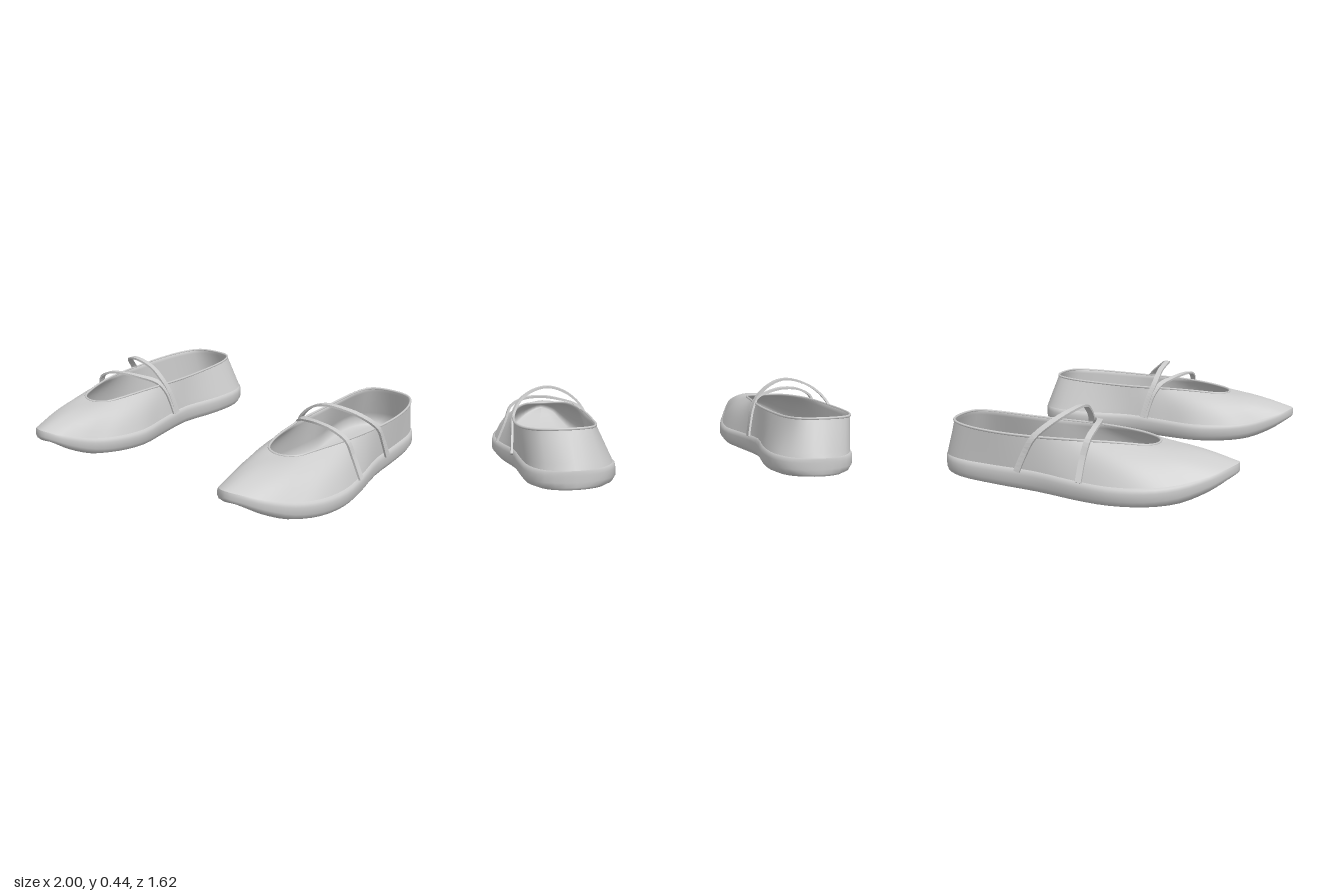
import * as THREE from 'three';

const material = new THREE.MeshStandardMaterial({ color: 0xcccccc, side: THREE.DoubleSide });
const N = 66; // points around each loop

// Stations from toe to heel: z, inner x, outer x, welt height, underside height
const SOLE = [
  [0.81, 0.665, 0.665, 0.195, 0.155],
  [0.77, 0.585, 0.755, 0.18, 0.13],
  [0.70, 0.54, 0.83, 0.155, 0.085],
  [0.57, 0.48, 0.915, 0.12, 0.03],
  [0.42, 0.425, 0.98, 0.105, 0.008],
  [0.24, 0.40, 1.0, 0.10, 0],
  [0.04, 0.435, 0.97, 0.105, 0],
  [-0.20, 0.465, 0.915, 0.115, 0.007],
  [-0.45, 0.42, 0.895, 0.12, 0.015],
  [-0.65, 0.42, 0.865, 0.125, 0.025],
  [-0.76, 0.49, 0.79, 0.125, 0.035],
  [-0.81, 0.64, 0.64, 0.125, 0.04],
];
// Matching stations of the foot opening: z, inner x, outer x, height
const RIM = [
  [0.40, 0.68, 0.68, 0.275],
  [0.39, 0.63, 0.735, 0.277],
  [0.36, 0.59, 0.775, 0.28],
  [0.29, 0.56, 0.805, 0.288],
  [0.20, 0.54, 0.835, 0.295],
  [0.09, 0.525, 0.865, 0.30],
  [-0.03, 0.51, 0.885, 0.303],
  [-0.20, 0.50, 0.90, 0.305],
  [-0.42, 0.50, 0.90, 0.312],
  [-0.60, 0.51, 0.865, 0.322],
  [-0.70, 0.55, 0.80, 0.33],
  [-0.73, 0.665, 0.665, 0.332],
];

// Smooth closed loop: toe, outer side, heel, inner side
function loop(stations, yColumn) {
  const outer = stations.map(s => new THREE.Vector3(s[2], s[yColumn], s[0]));
  const inner = stations.slice(1, -1).reverse().map(s => new THREE.Vector3(s[1], s[yColumn], s[0]));
  const curve = new THREE.CatmullRomCurve3([...outer, ...inner], true);
  return Array.from({ length: N }, (_, i) => curve.getPoint(i / N));
}

// Pull a loop toward its own centre line
function inset(ring, amount) {
  return ring.map((p, i) => {
    const q = ring[(N - i) % N];
    const spine = new THREE.Vector3((p.x + q.x) / 2, (p.y + q.y) / 2, p.z * 0.96);
    return p.clone().lerp(spine, amount);
  });
}

const blend = (a, b, t) => a.map((p, i) => p.clone().lerp(b[i], t));
const lift = (ring, dy) => ring.map(p => p.clone().setY(p.y + dy));

// Skin a list of equal closed loops; side -1 mirrors the surface
function skin(name, rows, side, capEnds = false) {
  const n = rows[0].length, pos = [], index = [];
  rows.forEach(row => row.forEach(p => pos.push(p.x * side, p.y, p.z)));
  const tri = (a, b, c) => (side > 0 ? index.push(a, b, c) : index.push(a, c, b));
  for (let r = 0; r < rows.length - 1; r++) {
    for (let i = 0; i < n; i++) {
      const a = r * n + i, b = r * n + (i + 1) % n;
      tri(a, a + n, b);
      tri(b, a + n, b + n);
    }
  }
  if (capEnds) {
    const e = (rows.length - 1) * n;
    tri(0, 1, 2); tri(0, 2, 3);
    tri(e, e + 2, e + 1); tri(e, e + 3, e + 2);
  }
  let geo = new THREE.BufferGeometry();
  geo.setAttribute('position', new THREE.Float32BufferAttribute(pos, 3));
  geo.setIndex(index);
  if (capEnds) geo = geo.toNonIndexed();
  geo.computeVertexNormals();
  const mesh = new THREE.Mesh(geo, material);
  mesh.name = name;
  return mesh;
}

// Flat ribbon following a path over the foot
function strap(name, points, side) {
  const curve = new THREE.CatmullRomCurve3(points.map(p => new THREE.Vector3(...p)));
  const rows = [];
  for (let i = 0; i <= 40; i++) {
    const p = curve.getPoint(i / 40), t = curve.getTangent(i / 40);
    const out = new THREE.Vector3(p.x - 0.69, p.y - 0.15, 0);
    out.addScaledVector(t, -out.dot(t)).normalize();
    const across = new THREE.Vector3().crossVectors(t, out);
    rows.push([[1, 1], [1, -1], [-1, -1], [-1, 1]].map(([w, h]) =>
      p.clone().addScaledVector(across, w * 0.016).addScaledVector(out, h * 0.006)));
  }
  return skin(name, rows, side, true);
}

function shoe(side) {
  const group = new THREE.Group();
  group.name = side > 0 ? 'leftShoe' : 'rightShoe';
  const welt = loop(SOLE, 3), under = loop(SOLE, 4), rim = loop(RIM, 3);

  // Sole: tucked top edge, rounded side wall, underside
  const base = lift(inset(welt, 0.06), 0.012);
  group.add(skin('sole', [
    base, lift(inset(welt, 0.015), 0.004), blend(welt, under, 0.15), blend(welt, under, 0.55),
    inset(blend(welt, under, 0.85), 0.08), inset(under, 0.24), inset(under, 0.6), inset(under, 1),
  ], side));

  // Upper: domed over the toes, straight around the heel
  const upperRow = t => blend(base, rim, t).map((p, i) => {
    const front = THREE.MathUtils.smoothstep(welt[i].z, 0, 0.4) * Math.sin(Math.PI * t);
    const spread = Math.sign(welt[i].x - 0.68) * Math.min(1, Math.abs(welt[i].x - 0.68) * 6);
    return p.add(new THREE.Vector3(0.014 * front * spread, 0.016 * front, 0));
  });
  const steps = [0, 0.15, 0.3, 0.45, 0.6, 0.75, 0.9, 1];
  group.add(skin('upper', steps.map(upperRow).reverse(), side));

  // Lining and insole
  const floor = blend(under, welt, 0.5);
  group.add(skin('lining', [
    inset(floor, 1), inset(floor, 0.5), inset(floor, 0.14),
    ...steps.map(t => lift(inset(upperRow(t), 0.05), -0.012 * (1 - t * 0.7))), rim,
  ], side));

  // Binding around the opening
  const edge = new THREE.CatmullRomCurve3(rim.map(p => new THREE.Vector3(p.x * side, p.y, p.z)), true);
  const binding = new THREE.Mesh(new THREE.TubeGeometry(edge, 80, 0.007, 6, true), material);
  binding.name = 'binding';
  group.add(binding);

  // Two straps that part on the outer side and join on the inner side
  group.add(strap('frontStrap', [
    [0.98, 0.115, 0.08], [0.93, 0.23, 0.085], [0.895, 0.315, 0.10], [0.82, 0.355, 0.105],
    [0.72, 0.365, 0.09], [0.62, 0.352, 0.05], [0.53, 0.325, 0.0], [0.49, 0.27, -0.035],
    [0.472, 0.2, -0.06], [0.456, 0.12, -0.08],
  ], side));
  group.add(strap('rearStrap', [
    [0.918, 0.12, -0.285], [0.912, 0.22, -0.24], [0.905, 0.305, -0.19], [0.85, 0.385, -0.10],
    [0.76, 0.428, -0.035], [0.68, 0.434, -0.015], [0.59, 0.40, -0.025], [0.52, 0.335, -0.035],
    [0.488, 0.27, -0.055], [0.47, 0.2, -0.075], [0.455, 0.12, -0.095],
  ], side));
  return group;
}

export function createModel() {
  const model = new THREE.Group();
  model.name = 'strapShoes';
  model.add(shoe(1), shoe(-1));
  return model;
}
